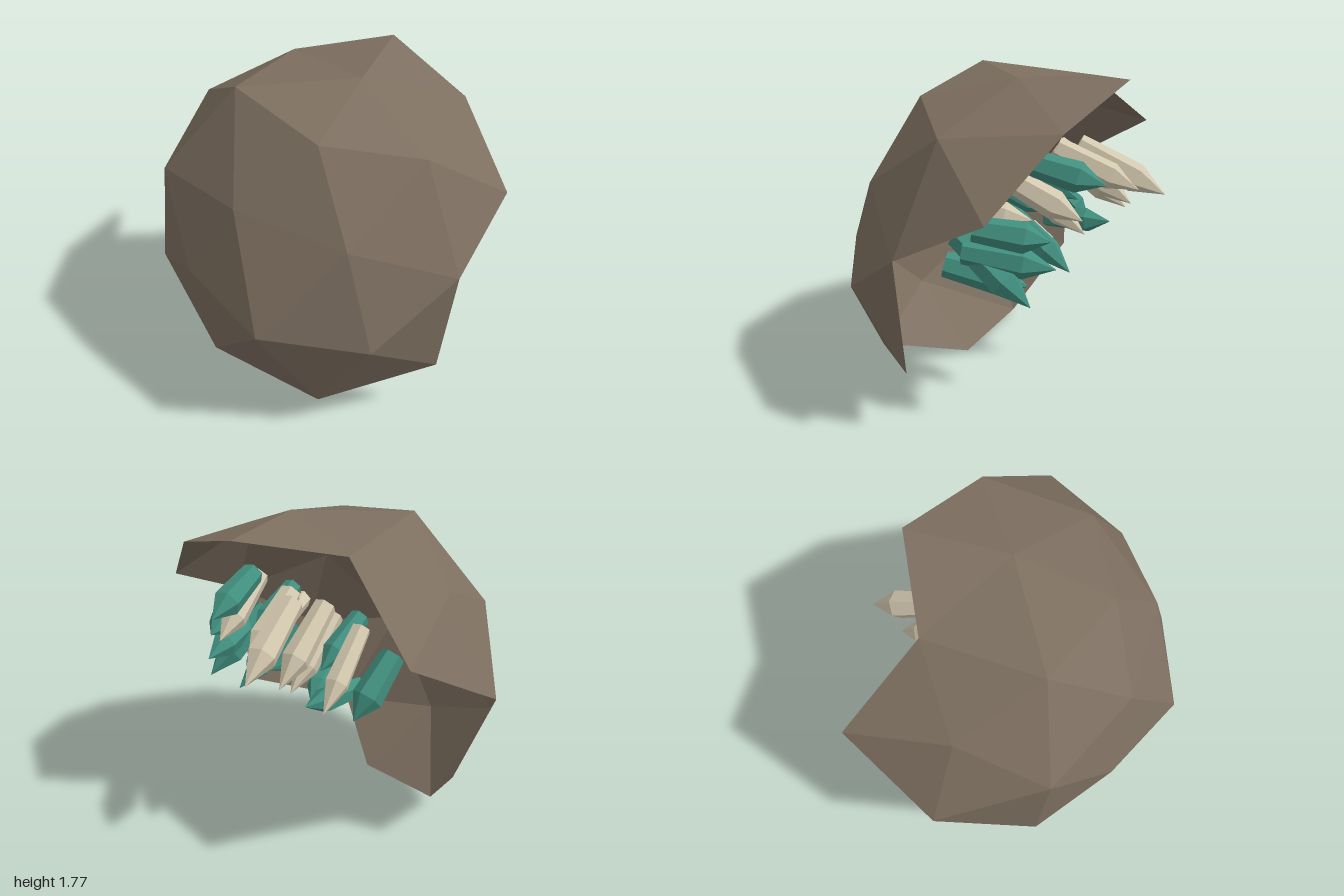
import * as THREE from 'three';

const rock = new THREE.MeshStandardMaterial({ color: 0x7d6f60, flatShading: true, side: THREE.DoubleSide });
rock.name = 'rock brown';
const teal = new THREE.MeshStandardMaterial({ color: 0x418f7f, flatShading: true });
teal.name = 'crystal teal';
const ivory = new THREE.MeshStandardMaterial({ color: 0xd2c7ae, flatShading: true });
ivory.name = 'crystal ivory';

// Corners of the broken, faceted rock shell
const corners = {
  // broken rim
  A: [-1, 1, 0.09], B: [-0.91, 1.35, -0.48], D: [-0.385, 1.7, -0.33], Z: [0.03, 1.77, -0.705],
  X: [0.57, 1.6, -0.6], H: [0.97, 1.25, -0.41], I: [1, 1, 0.075], J: [0.93, 0.36, 0.075],
  K: [0.49, 0.195, 0.555], L: [0.025, 0, 0.27], M: [-0.52, 0.055, 0.24], N: [-0.825, 0.47, 0.02],
  // outer dome
  C: [-0.7, 1.5, 0.055], E: [-0.25, 1.75, 0.3], F: [0.2, 1.76, -0.17], G: [0.715, 1.54, -0.01],
  P: [-0.24, 0.85, 0.74], Q: [0.32, 0.76, 0.845], R: [-0.58, 1.26, 0.54], S: [0.32, 1.64, 0.35],
  T: [0.61, 1.22, 0.49], U: [0.79, 0.69, 0.515], V: [-0.13, 0.32, 0.7], W: [-0.685, 0.62, 0.53],
  Y: [0.03, 1.31, 0.65],
};
// Each fan is a hub corner followed by its neighbours, counter-clockwise from outside
const fans = ['YPQTSERP', 'CREDBAR', 'STGFE', 'UQKJITQ', 'PRWVQ', 'WRANMV', 'VMLKQ', 'FGXZDE', 'GTIHX'];

function createShell() {
  const points = [];
  for (const [hub, ...ring] of fans) {
    for (let i = 0; i + 1 < ring.length; i++) {
      points.push(...corners[hub], ...corners[ring[i]], ...corners[ring[i + 1]]);
    }
  }
  const geometry = new THREE.BufferGeometry();
  geometry.setAttribute('position', new THREE.Float32BufferAttribute(points, 3));
  geometry.computeVertexNormals();
  const shell = new THREE.Mesh(geometry, rock);
  shell.name = 'rockShell';
  return shell;
}

// Six-sided crystal running from its root to its pointed tip
function createCrystal(root, tip, radius, material, name) {
  const from = new THREE.Vector3(...root);
  const axis = new THREE.Vector3(...tip).sub(from);
  const length = axis.length();
  const profile = [[0, 0], [radius * 0.8, 0], [radius, length * 0.66], [0, length]]
    .map(([r, y]) => new THREE.Vector2(r, y));
  const crystal = new THREE.Mesh(new THREE.LatheGeometry(profile, 6).toNonIndexed(), material);
  crystal.geometry.computeVertexNormals();
  crystal.quaternion.setFromUnitVectors(new THREE.Vector3(0, 1, 0), axis.normalize());
  crystal.position.copy(from);
  crystal.name = name;
  return crystal;
}

// [root, tip, radius]
const tealCrystals = [
  [[0.38, 1.39, -0.3], [0.25, 1.28, -0.69], 0.08],
  [[0.67, 1.1, -0.17], [0.51, 1.04, -0.52], 0.08],
  [[0.6, 1.02, -0.04], [0.62, 0.72, -0.465], 0.085],
  [[0.65, 0.96, -0.1], [0.51, 0.9, -0.55], 0.08],
  [[0.59, 0.84, 0.05], [0.42, 0.73, -0.35], 0.085],
  [[0.24, 1.06, -0.13], [0.28, 0.79, -0.52], 0.07],
  [[0.17, 0.79, 0.12], [0, 0.7, -0.24], 0.075],
  [[0.2, 0.87, 0.08], [0.28, 0.82, -0.3], 0.06],
  [[-0.41, 1.07, -0.02], [-0.42, 0.8, -0.33], 0.085],
  [[-0.26, 0.86, -0.12], [-0.26, 0.9, -0.52], 0.07],
  [[0.33, 1.25, -0.05], [0.25, 1.1, -0.42], 0.07],
  [[-0.15, 1.2, 0], [-0.2, 1.02, -0.35], 0.07],
];
const ivoryCrystals = [
  [[-0.05, 1.38, -0.4], [-0.2, 1.13, -0.85], 0.08],
  [[0.05, 1.38, -0.32], [-0.09, 1.17, -0.74], 0.075],
  [[-0.13, 1.34, -0.24], [-0.22, 1.04, -0.655], 0.075],
  [[-0.31, 1.24, -0.16], [-0.425, 0.94, -0.55], 0.065],
  [[0, 1.18, -0.05], [-0.07, 0.87, -0.45], 0.07],
  [[0.45, 1.33, -0.2], [0.32, 1.1, -0.6], 0.075],
  [[-0.16, 0.8, 0.2], [-0.3, 0.72, -0.15], 0.075],
  [[0.42, 1.1, 0.1], [0.28, 1.04, -0.3], 0.07],
];

export function createModel() {
  const model = new THREE.Group();
  model.name = 'geode';
  model.add(createShell());
  const cluster = new THREE.Group();
  cluster.name = 'crystalCluster';
  for (const c of tealCrystals) cluster.add(createCrystal(...c, teal, 'tealCrystal'));
  for (const c of ivoryCrystals) cluster.add(createCrystal(...c, ivory, 'ivoryCrystal'));
  model.add(cluster);
  return model;
}
